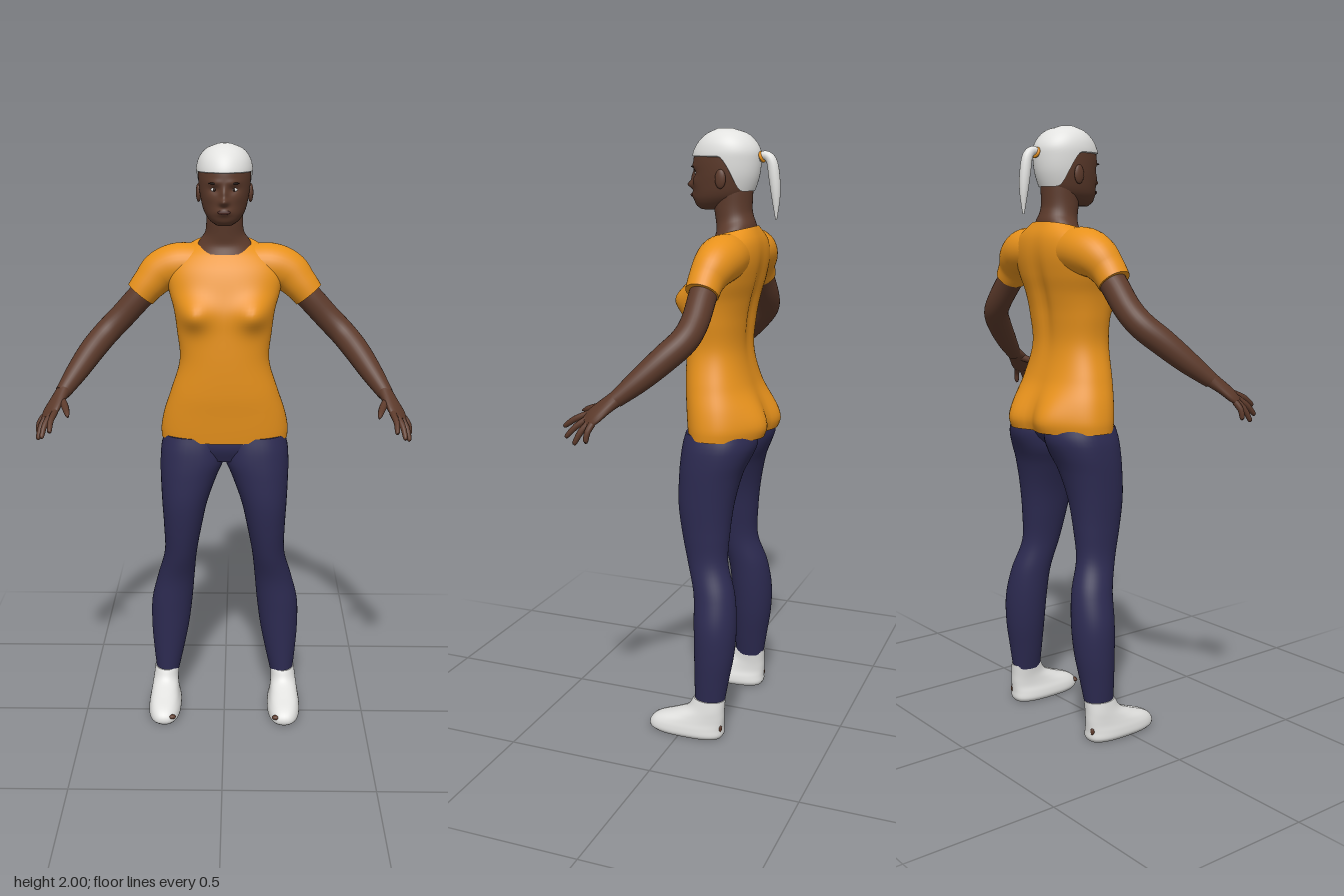
import * as THREE from 'three';

const V = (x, y, z) => new THREE.Vector3(x, y, z);
const material = (name, color) => Object.assign(new THREE.MeshStandardMaterial({ color }), { name });

// Smooth interpolation of table rows; column 0 is the key
function sample(rows, key) {
  let i = 0;
  while (i < rows.length - 2 && key > rows[i + 1][0]) i++;
  const a = rows[i], b = rows[i + 1];
  const p = rows[Math.max(i - 1, 0)], q = rows[Math.min(i + 2, rows.length - 1)];
  const h = b[0] - a[0], t = THREE.MathUtils.clamp((key - a[0]) / h, 0, 1), t2 = t * t, t3 = t2 * t;
  return a.map((_, c) => {
    const m0 = (b[c] - p[c]) / (b[0] - p[0]) * h, m1 = (q[c] - a[c]) / (q[0] - a[0]) * h;
    return (2 * t3 - 3 * t2 + 1) * a[c] + (t3 - 2 * t2 + t) * m0 + (3 * t2 - 2 * t3) * b[c] + (t3 - t2) * m1;
  });
}

// Skin over closed rings of points, with separate flat caps at both ends
function loft(rings) {
  const n = rings[0].length, pos = [], idx = [];
  const add = (p) => pos.push(p.x, p.y, p.z) / 3 - 1;
  rings.forEach((r) => r.forEach(add));
  for (let i = 0; i < rings.length - 1; i++) {
    for (let j = 0; j < n; j++) {
      const a = i * n + j, b = i * n + (j + 1) % n;
      idx.push(a, a + n, b, b, a + n, b + n);
    }
  }
  [rings[0], rings[rings.length - 1]].forEach((r, end) => {
    const mid = add(r.reduce((s, p) => s.add(p), V(0, 0, 0)).divideScalar(n));
    const first = r.map(add)[0];
    for (let j = 0; j < n; j++) {
      const a = first + j, b = first + (j + 1) % n;
      idx.push(mid, ...(end ? [b, a] : [a, b]));
    }
  });
  const g = new THREE.BufferGeometry();
  g.setAttribute('position', new THREE.Float32BufferAttribute(pos, 3));
  g.setIndex(idx);
  g.computeVertexNormals();
  return g;
}

// Point on a body; row: [y, x0, x1, zBack, zFront, power, tilt]
// bump: [x, y, height, widthX, widthY, side], mirrored in x
function bodyPoint(rows, y, a, bumps = [], grow = 0) {
  const [, x0, x1, zb, zf, power = 2, tilt = 0] = sample(rows, y);
  const c = Math.cos(a), s = Math.sin(a);
  const round = (v) => Math.sign(v) * Math.abs(v) ** (2 / power);
  const p = V((x0 + x1) / 2 + ((x1 - x0) / 2 + grow) * round(c), y - tilt * s,
    (zb + zf) / 2 + ((zf - zb) / 2 + grow) * round(s));
  for (const [bx, by, h, wx, wy, side] of bumps) {
    const d = ((Math.abs(p.x) - bx) / wx) ** 2 + ((y - by) / wy) ** 2;
    p.z += side * h * Math.max(0, side * s) ** 0.5 * Math.exp(-d);
  }
  return p;
}
const ring = (n, f) => Array.from({ length: n }, (_, j) => f(j / n * Math.PI * 2));
function body(rows, steps, sides, bumps) {
  const y0 = rows[0][0], y1 = rows[rows.length - 1][0];
  return loft(Array.from({ length: steps + 1 }, (_, i) =>
    ring(sides, (a) => bodyPoint(rows, y0 + (y1 - y0) * i / steps, a, bumps))));
}
const symmetric = (rows) => rows.map(([y, w, ...rest]) => [y, -w, w, ...rest]);

// Limb along a path; row: [x, y, z, radius along ref, other radius]
function limb(points, ref, sides = 20, per = 5) {
  const rows = points.map((p, i) => [i, p[0], p[1], p[2], p[3], p[4] ?? p[3]]);
  const last = rows.length - 1, rings = [];
  for (let i = 0; i <= last * per; i++) {
    const k = i / per, [, x, y, z, r1, r2] = sample(rows, k);
    const e = sample(rows, Math.min(k + 0.05, last)), b = sample(rows, Math.max(k - 0.05, 0));
    const t = V(e[1] - b[1], e[2] - b[2], e[3] - b[3]).normalize();
    const u = ref.clone().addScaledVector(t, -ref.dot(t)).normalize(), v = u.clone().cross(t);
    rings.push(ring(sides, (a) => V(x, y, z).addScaledVector(u, r1 * Math.cos(a)).addScaledVector(v, r2 * Math.sin(a))));
  }
  return loft(rings);
}

function ellipsoid(x, y, z, rx, ry, rz) {
  return new THREE.SphereGeometry(1, 20, 14).scale(rx, ry, rz).translate(x, y, z);
}

function mirrored(geometry) {
  const g = geometry.clone().scale(-1, 1, 1), ix = g.index.array;
  for (let i = 0; i < ix.length; i += 3) [ix[i], ix[i + 1]] = [ix[i + 1], ix[i]];
  return g;
}

export function createModel() {
  const model = new THREE.Group();
  model.name = 'standingWoman';
  const skin = material('skin', 0x5c3a2b), shirt = material('orangeCloth', 0xe8921c);
  const pants = material('navyCloth', 0x2d2b52), white = material('white', 0xe2e2e0);
  const dark = material('darkBrown', 0x2a1812), lip = material('lips', 0x4a2822);

  const add = (name, geometry, mat) => {
    const m = new THREE.Mesh(geometry, mat);
    m.name = name;
    model.add(m);
  };
  const pair = (name, geometry, mat) => {
    add(name + 'Left', geometry, mat);
    add(name + 'Right', mirrored(geometry), mat);
  };

  // Shirt, with bust, seat and spine shaped by bumps
  const buttock = [0.085, 1.06, 0.042, 0.075, 0.09, -1];
  add('shirtBody', body(symmetric([
    [1.025, 0.216, -0.2, 0.026, 2.3, 0], [1.06, 0.217, -0.205, 0.03, 2.3, 0],
    [1.12, 0.205, -0.195, 0.036, 2.3, 0], [1.19, 0.182, -0.175, 0.043, 2.3, 0],
    [1.3, 0.15, -0.155, 0.046, 2.3, 0], [1.4, 0.158, -0.162, 0.044, 2.3, 0],
    [1.47, 0.168, -0.175, 0.04, 2.3, 0], [1.53, 0.185, -0.19, 0.022, 2.3, 0],
    [1.6, 0.195, -0.2, -0.005, 2.2, 0], [1.65, 0.165, -0.195, -0.035, 2.1, 0.005],
    [1.683, 0.1, -0.175, -0.055, 2, 0.015],
  ]), 60, 72, [buttock, [0.105, 1.465, 0.045, 0.055, 0.05, 1], [0, 1.45, -0.014, 0.03, 0.15, -1]]), shirt);
  pair('sleeve', limb([
    [0.06, 1.605, -0.115, 0.07, 0.068], [0.15, 1.605, -0.115, 0.076, 0.075], [0.21, 1.585, -0.11, 0.068, 0.07],
    [0.25, 1.548, -0.1, 0.057, 0.058], [0.28, 1.512, -0.097, 0.053, 0.052],
  ], V(0, 0, 1), 32), shirt);

  // Trousers
  add('hips', body(symmetric([
    [0.955, 0.1, -0.13, 0.0, 2.5], [1.0, 0.18, -0.175, 0.018, 2.5], [1.04, 0.2, -0.19, 0.018, 2.5],
  ]), 8, 40), pants);
  pair('leg', body([
    [0.125, 0.167, 0.25, -0.148, -0.045, 2], [0.2, 0.15, 0.258, -0.16, -0.043, 2],
    [0.3, 0.13, 0.265, -0.176, -0.04, 2], [0.4, 0.117, 0.262, -0.18, -0.036, 2],
    [0.5, 0.108, 0.238, -0.168, -0.028, 2], [0.6, 0.098, 0.212, -0.138, 0, 2],
    [0.7, 0.08, 0.212, -0.14, 0.022, 2.1], [0.8, 0.058, 0.217, -0.15, 0.036, 2.2],
    [0.9, 0.022, 0.221, -0.17, 0.036, 2.3], [0.95, 0, 0.221, -0.185, 0.033, 2.4],
    [1.0, -0.004, 0.217, -0.192, 0.027, 2.4], [1.04, -0.004, 0.205, -0.185, 0.018, 2.4],
  ], 50, 40, [[0.085, 1.03, 0.028, 0.08, 0.07, -1]]), pants);

  // Shoes, with skin showing at toe and heel
  pair('shoe', body([
    [0, 0.165, 0.262, -0.14, 0.105, 2.6], [0.012, 0.157, 0.272, -0.148, 0.117, 2.6],
    [0.035, 0.158, 0.272, -0.148, 0.113, 2.5], [0.055, 0.164, 0.268, -0.149, 0.088, 2.4],
    [0.075, 0.168, 0.264, -0.15, 0.035, 2.3], [0.1, 0.17, 0.26, -0.15, -0.018, 2.2],
    [0.137, 0.167, 0.255, -0.152, -0.042, 2],
  ], 28, 40), white);
  pair('toe', ellipsoid(0.185, 0.03, 0.102, 0.014, 0.008, 0.01), skin);
  pair('heel', ellipsoid(0.232, 0.04, -0.14, 0.008, 0.014, 0.009), skin);

  // Arms and hands
  pair('arm', limb([
    [0.22, 1.56, -0.1, 0.045], [0.28, 1.505, -0.1, 0.044], [0.345, 1.435, -0.1, 0.043],
    [0.395, 1.385, -0.085, 0.043], [0.44, 1.335, -0.04, 0.042], [0.485, 1.275, 0.02, 0.036],
    [0.527, 1.218, 0.082, 0.025],
  ], V(0.75, -0.4, -0.5), 28), skin);
  const across = V(0.75, -0.4, -0.5).normalize();
  pair('palm', limb([
    [0.522, 1.226, 0.075, 0.025, 0.024], [0.542, 1.198, 0.11, 0.033, 0.018],
    [0.558, 1.172, 0.138, 0.038, 0.015], [0.568, 1.152, 0.158, 0.032, 0.01],
  ], across), skin);
  const tips = { indexFinger: [0.55, 1.13, 0.243], middleFinger: [0.58, 1.105, 0.223], ringFinger: [0.598, 1.09, 0.187], littleFinger: [0.604, 1.1, 0.145] };
  Object.entries(tips).forEach(([name, tip], i) => {
    const base = V(0.562, 1.164, 0.146).addScaledVector(across, -0.027 + i * 0.018), end = V(...tip);
    const mid = base.clone().lerp(end, 0.5).add(V(0.004, 0.004, 0.002));
    pair(name, limb([[...base, 0.0105], [...mid, 0.0095], [...base.lerp(end, 0.92), 0.0075], [...end, 0.003]], V(0, 0, 1), 12, 3), skin);
  });
  pair('thumb', limb([
    [0.532, 1.208, 0.1, 0.013], [0.512, 1.19, 0.145, 0.012], [0.5, 1.178, 0.185, 0.009], [0.494, 1.17, 0.207, 0.003],
  ], V(1, 0, 0), 12, 4), skin);

  // Neck
  add('neck', body(symmetric([
    [1.66, 0.1, -0.172, -0.035, 2, 0.01], [1.69, 0.082, -0.17, -0.045, 2, 0.012],
    [1.715, 0.065, -0.163, -0.042, 2, 0.01], [1.75, 0.06, -0.158, -0.035, 2, 0], [1.81, 0.06, -0.16, -0.03, 2, 0],
  ]), 20, 40), skin);

  // Head; brow, sockets, nose, lips and chin shaped by bumps
  const headRows = symmetric([
    [1.748, 0.026, -0.06, 0.012], [1.76, 0.045, -0.1, 0.028], [1.78, 0.061, -0.135, 0.035],
    [1.8, 0.07, -0.155, 0.036], [1.83, 0.077, -0.168, 0.036], [1.86, 0.082, -0.176, 0.036],
    [1.9, 0.085, -0.18, 0.036], [1.93, 0.084, -0.178, 0.029], [1.96, 0.073, -0.16, 0.01],
    [1.983, 0.05, -0.13, -0.018], [1.996, 0.015, -0.085, -0.05],
  ]);
  const face = [
    [0, 1.824, 0.022, 0.014, 0.012, 1], [0, 1.848, 0.012, 0.01, 0.022, 1], [0, 1.793, 0.01, 0.024, 0.012, 1],
    [0.031, 1.862, -0.008, 0.017, 0.011, 1], [0.03, 1.884, 0.004, 0.022, 0.009, 1], [0.045, 1.835, 0.004, 0.018, 0.018, 1],
  ];
  add('head', body(headRows, 80, 100, face), skin);
  pair('eye', ellipsoid(0.031, 1.862, 0.018, 0.011, 0.006, 0.006), white);
  pair('iris', ellipsoid(0.031, 1.862, 0.021, 0.005, 0.0055, 0.004), dark);
  pair('eyebrow', ellipsoid(0.033, 1.882, 0.0285, 0.016, 0.003, 0.005).rotateZ(0), dark);
  add('lips', ellipsoid(0, 1.793, 0.041, 0.021, 0.007, 0.006), lip);
  pair('ear', ellipsoid(0.084, 1.845, -0.082, 0.009, 0.03, 0.018), skin);

  // Hair cap with a hairline dropping to the nape, and a ponytail
  add('hair', loft(Array.from({ length: 25 }, (_, i) => ring(72, (a) => {
    const edge = 1.915 - 0.108 * THREE.MathUtils.smoothstep(-Math.sin(a), 0, 0.8);
    const y = edge + (1.996 - edge) * Math.sin(i / 24 * Math.PI / 2);
    return bodyPoint(headRows, y, a, [], 0.006).add(V(0, 0.004 * i / 24, 0));
  }))), white);
  add('ponytail', limb([
    [0, 1.9, -0.165, 0.012], [0, 1.917, -0.198, 0.014], [0, 1.9, -0.222, 0.017],
    [0, 1.85, -0.232, 0.018], [0, 1.79, -0.238, 0.014], [0, 1.72, -0.24, 0.003],
  ], V(1, 0, 0), 16), white);
  add('hairTie', new THREE.TorusGeometry(0.014, 0.005, 8, 20).rotateX(0.4).translate(0, 1.912, -0.19), shirt);

  return model;
}
